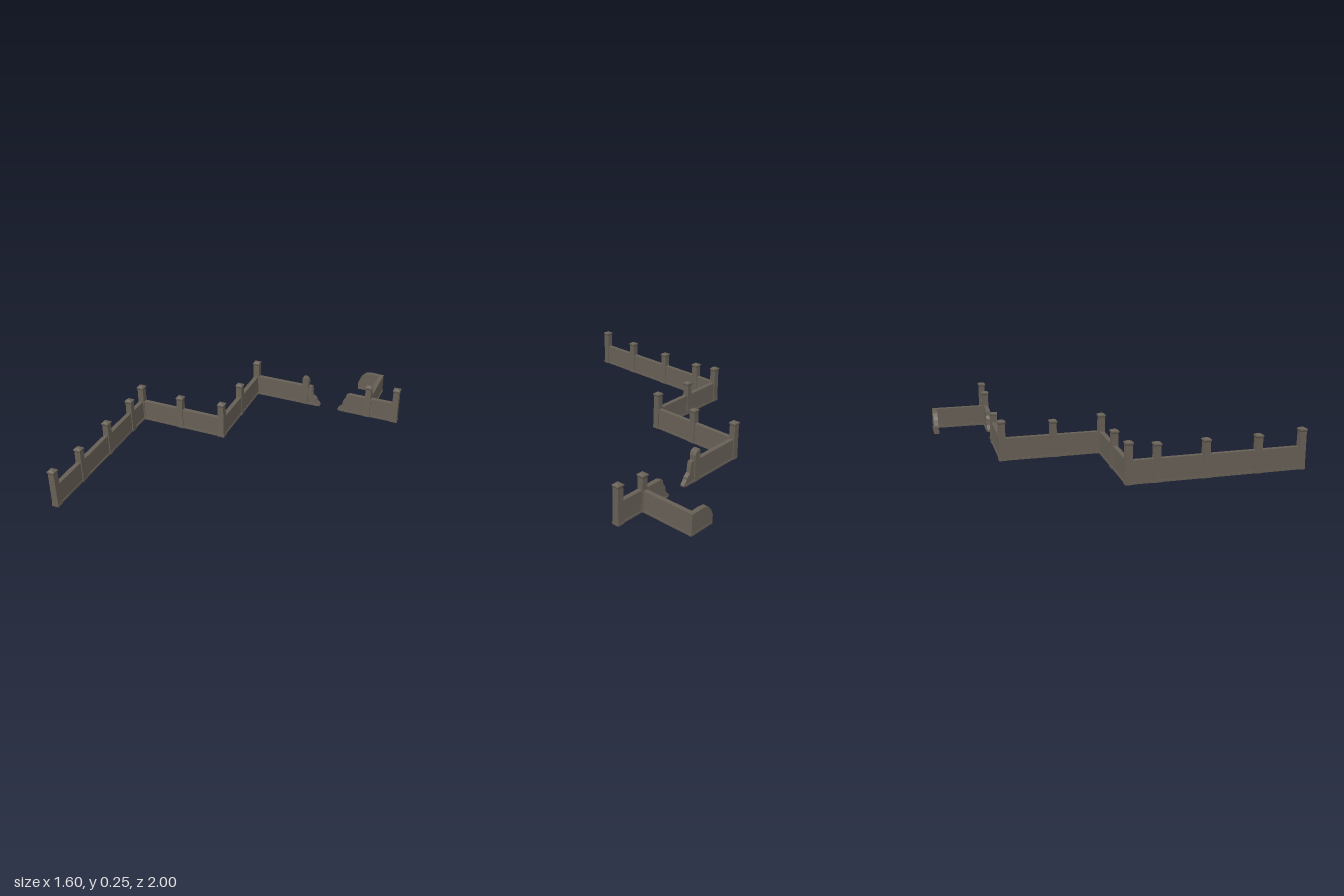
import * as THREE from 'three';

const stone = new THREE.MeshStandardMaterial({ color: 0x665f55 });
stone.name = 'weathered stone';

const WALL_H = 0.135, WALL_T = 0.028;

function add(parent, geometry, name, x = 0, y = 0, z = 0) {
  const mesh = new THREE.Mesh(geometry, stone);
  mesh.name = name;
  mesh.position.set(x, y, z);
  parent.add(mesh);
  return mesh;
}

// Slab with an outline in x and y, centred on its thickness
function slab(points, thickness) {
  const shape = new THREE.Shape(points.map(([x, y]) => new THREE.Vector2(x, y)));
  const geo = new THREE.ExtrudeGeometry(shape, { depth: thickness, bevelEnabled: false });
  return geo.translate(0, 0, -thickness / 2);
}

// Four-sided block that tapers from one width to another
function taper(bottom, top, height) {
  const geo = new THREE.CylinderGeometry(top * Math.SQRT1_2, bottom * Math.SQRT1_2, height, 4, 1);
  geo.rotateY(Math.PI / 4).translate(0, height / 2, 0);
  const flat = geo.toNonIndexed();
  flat.computeVertexNormals();
  return flat;
}

// Straight wall with a low plinth, running along x or z
function wall(parent, name, [x0, z0], [x1, z1], height = WALL_H) {
  const lx = Math.abs(x1 - x0), lz = Math.abs(z1 - z0);
  const cx = (x0 + x1) / 2, cz = (z0 + z1) / 2;
  add(parent, new THREE.BoxGeometry(lx + WALL_T, height, lz + WALL_T), name, cx, height / 2, cz);
  add(parent, new THREE.BoxGeometry(lx + 0.036, 0.012, lz + 0.036), name + 'Plinth', cx, 0.006, cz);
}

// Pillar with foot, shaft, flared neck and shallow pyramid cap
function pillar(parent, x, z, height) {
  const group = new THREE.Group();
  group.name = 'pillar';
  group.position.set(x, 0, z);
  add(group, taper(0.045, 0.044, 0.016), 'pillarFoot');
  add(group, taper(0.041, 0.038, height - 0.036), 'pillarShaft', 0, 0.014, 0);
  add(group, taper(0.038, 0.046, 0.01), 'pillarNeck', 0, height - 0.024, 0);
  add(group, taper(0.046, 0.046, 0.006), 'pillarCap', 0, height - 0.014, 0);
  add(group, taper(0.046, 0.016, 0.008), 'pillarCapTop', 0, height - 0.008, 0);
  parent.add(group);
}

export function createModel() {
  const model = new THREE.Group();
  model.name = 'ruinedWall';

  // Zigzag of intact walls
  const path = [[-0.778, 0.975], [-0.778, -0.045], [-0.204, -0.045], [-0.204, -0.645]];
  for (let i = 0; i < path.length - 1; i++) wall(model, 'wall', path[i], path[i + 1]);

  // Tall pillars at corners and ends
  for (const [x, z] of [...path, [0.777, -0.645]]) pillar(model, x, z, 0.245);

  // Shorter pillars along the walls
  const middles = [[-0.778, 0.71], [-0.778, 0.4], [-0.778, 0.115], [-0.495, -0.045],
    [-0.204, -0.34], [0.592, -0.645]];
  for (const [x, z] of middles) pillar(model, x, z, 0.228);

  // Left broken wall, crumbling towards the gap
  add(model, slab([[-0.204, 0], [0.262, 0], [0.262, 0.01], [0.24, 0.036], [0.236, 0.05],
    [0.212, 0.07], [0.208, 0.115], [0.202, 0.138], [0.18, 0.14], [0.178, WALL_H],
    [-0.204, WALL_H]], WALL_T), 'brokenWallLeft', 0, 0, -0.645);
  add(model, new THREE.BoxGeometry(0.455, 0.012, 0.036), 'brokenWallLeftPlinth', 0.02, 0.006, -0.645);

  // Broken pillar without its cap
  add(model, slab([[0.133, 0], [0.178, 0], [0.176, 0.12], [0.178, 0.17], [0.17, 0.19],
    [0.155, 0.198], [0.137, 0.2], [0.133, 0.188], [0.136, 0.18], [0.136, 0.016]], 0.041),
  'brokenPillar', 0, 0, -0.645);

  // Right broken wall, rising from the gap
  add(model, slab([[0.39, 0], [0.777, 0], [0.777, WALL_H], [0.465, WALL_H], [0.444, 0.126],
    [0.44, 0.098], [0.425, 0.08], [0.418, 0.04], [0.39, 0.014]], WALL_T),
  'brokenWallRight', 0, 0, -0.645);
  add(model, new THREE.BoxGeometry(0.375, 0.012, 0.036), 'brokenWallRightPlinth', 0.597, 0.006, -0.645);

  // Rear wing, slightly worn along its top
  wall(model, 'rearWall', [0.592, -0.645], [0.592, -0.98], 0.13);
  add(model, slab([[0.435, 0], [0.605, 0], [0.605, 0.127], [0.53, 0.131], [0.485, 0.126],
    [0.465, 0.108], [0.45, 0.09], [0.435, 0.05]], WALL_T), 'rearReturnWall', 0, 0, -0.984);
  add(model, new THREE.BoxGeometry(0.165, 0.012, 0.034), 'rearReturnPlinth', 0.52, 0.006, -0.983);

  return model;
}
